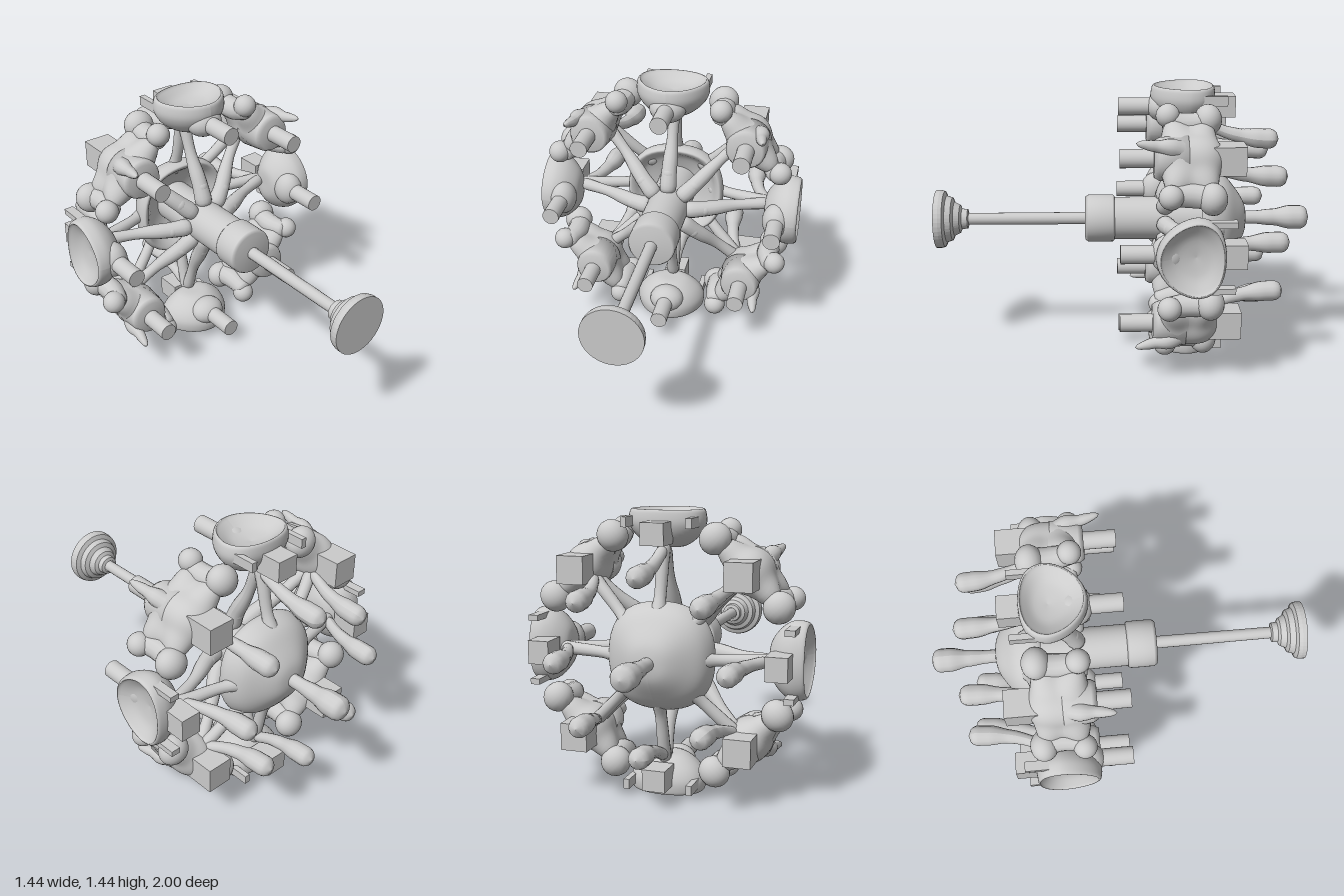
import * as THREE from 'three';

const mat = new THREE.MeshStandardMaterial({ color: 0xcccccc, side: THREE.DoubleSide });
const V = (x, y, z) => new THREE.Vector3(x, y, z);

function add(parent, name, geo) {
  const m = new THREE.Mesh(geo, mat);
  m.name = name;
  parent.add(m);
  return m;
}

// Lathe around the z axis from [radius, z] pairs
function turned(pts, seg = 40) {
  return new THREE.LatheGeometry(pts.map(p => new THREE.Vector2(p[0], p[1])), seg).rotateX(Math.PI / 2);
}

// Smooth lathe profile through a few points
function smooth(pts, n) {
  return new THREE.SplineCurve(pts.map(p => new THREE.Vector2(p[0], p[1]))).getPoints(n).map(p => [Math.max(p.x, 0), p.y]);
}

// Organic limb: a tube along a curve whose radius follows a list of values, with rounded ends
function limb(points, radii, seg = 24, sides = 14) {
  const curve = new THREE.CatmullRomCurve3(points);
  const geo = new THREE.TubeGeometry(curve, seg, 1, sides);
  const pos = geo.attributes.position, p = V(0, 0, 0);
  for (let i = 0; i <= seg; i++) {
    const t = i / seg, c = curve.getPointAt(t);
    const f = t * (radii.length - 1), k = Math.min(Math.floor(f), radii.length - 2);
    let r = THREE.MathUtils.lerp(radii[k], radii[k + 1], THREE.MathUtils.smoothstep(f - k, 0, 1));
    const e = Math.min(t, 1 - t) * 8;
    if (e < 1) r *= Math.sqrt(Math.max(0, 1 - (1 - e) * (1 - e)));
    for (let j = 0; j <= sides; j++) {
      const q = i * (sides + 1) + j;
      p.fromBufferAttribute(pos, q).sub(c).multiplyScalar(r).add(c);
      pos.setXYZ(q, p.x, p.y, p.z);
    }
  }
  geo.computeVertexNormals();
  return geo;
}

function box(w, h, d, x, y, z) {
  return new THREE.BoxGeometry(w, h, d).translate(x, y, z);
}

function ball(r, x, y, z, sx = 1, sy = 1, sz = 1) {
  return new THREE.SphereGeometry(r, 20, 14).scale(sx, sy, sz).translate(x, y, z);
}

function peg(parent) {
  add(parent, 'peg', new THREE.CylinderGeometry(0.046, 0.046, 0.25, 24).rotateX(Math.PI / 2).translate(0, 0.605, -0.095));
}

// Dished pod with its hollow facing outward; local y is the wheel's radius
function dishPod() {
  const g = new THREE.Group();
  g.name = 'dishPod';
  const prof = smooth([[0, 0.53], [0.45, 0.535], [0.82, 0.585], [1, 0.645], [0.99, 0.7], [0.92, 0.718], [0.84, 0.705], [0.5, 0.67], [0, 0.655]], 36);
  const geo = new THREE.LatheGeometry(prof.map(p => new THREE.Vector2(p[0], p[1])), 48);
  const pos = geo.attributes.position;
  for (let i = 0; i < pos.count; i++) {
    const x = pos.getX(i), z = pos.getZ(i);
    // narrow toward the front, squarer toward the back
    const wide = z > 0 ? 1 - 0.12 * z : 1 + 0.2 * z * z;
    pos.setX(i, x * 0.195 * wide);
    pos.setZ(i, z * (z > 0 ? 0.19 : 0.14) - 0.33);
  }
  geo.computeVertexNormals();
  add(g, 'dish', geo);
  add(g, 'podNose', ball(0.085, 0, 0.605, -0.2, 1.15, 0.9, 1));
  peg(g);
  add(g, 'backBlock', box(0.12, 0.11, 0.14, 0, 0.61, -0.505));
  for (const s of [-1, 1]) add(g, 'rearProng', box(0.03, 0.05, 0.16, s * 0.165, 0.66, -0.44));
  return g;
}

// Star-shaped pod with four arms ending in lobes
function starPod(angle) {
  const g = new THREE.Group();
  g.name = 'starPod';
  const arms = [];
  for (const s of [-1, 1]) arms.push(V(s * 0.22, 0.02, 0.1), V(s * 0.22, 0, -0.1));
  const geo = new THREE.SphereGeometry(1, 56, 36);
  const pos = geo.attributes.position, d = V(0, 0, 0);
  for (let i = 0; i < pos.count; i++) {
    d.fromBufferAttribute(pos, i).normalize();
    let r = 0.115 + 0.055 * d.z * d.z;
    for (const a of arms) r += 0.1 * Math.exp(-12 * (1 - d.dot(a) / a.length()));
    pos.setXYZ(i, d.x * r, d.y * r, d.z * r);
  }
  geo.computeVertexNormals();
  geo.translate(0, 0.6, -0.31);
  add(g, 'starBody', geo);
  for (const s of [-1, 1]) {
    add(g, 'frontLobe', ball(0.06, s * 0.232, 0.63, -0.21));
    add(g, 'rearLobe', ball(0.078, s * 0.225, 0.6, -0.41, 1, 1.05, 0.9));
    add(g, 'lobeBridge', limb([V(s * 0.22, 0.62, -0.18), V(s * 0.2, 0.595, -0.3), V(s * 0.22, 0.6, -0.45)], [0.05, 0.06, 0.06], 16));
  }
  add(g, 'frontCollar', turned([[0, -0.3], [0.12, -0.3], [0.105, -0.16], [0.09, -0.135], [0, -0.135]], 28).translate(0, 0.6, 0));
  peg(g);
  add(g, 'horn', limb([V(0, 0.64, -0.3), V(0, 0.7, -0.22), V(0, 0.715, -0.14), V(0, 0.74, -0.045)], [0.06, 0.045, 0.028, 0.015], 20));
  // block stays square to the world axes
  const block = add(g, 'backBlock', box(0.14, 0.14, 0.16, 0, 0, 0));
  block.position.set(0, 0.6, -0.5);
  block.rotation.z = -angle;
  return g;
}

// Forked spoke with a rear drumstick knob
function spoke() {
  const g = new THREE.Group();
  g.name = 'spoke';
  add(g, 'frontFork', limb([V(0, 0.08, -0.2), V(0, 0.2, -0.24), V(0, 0.36, -0.32), V(0, 0.56, -0.39)], [0.05, 0.042, 0.03, 0.035]));
  add(g, 'rearFork', limb([V(0, 0.18, -0.5), V(0, 0.32, -0.45), V(0, 0.45, -0.42), V(0, 0.57, -0.39)], [0.045, 0.03, 0.032, 0.035]));
  add(g, 'spokeKnuckle', ball(0.045, 0, 0.2, -0.24, 0.9, 1, 1));
  add(g, 'drumstick', limb([V(0, 0.53, -0.4), V(0, 0.47, -0.53), V(0, 0.44, -0.66), V(0, 0.428, -0.815)], [0.03, 0.03, 0.036, 0.052, 0.054], 30));
  return g;
}

export function createModel() {
  const root = new THREE.Group();
  root.name = 'wheelDevice';
  const wheel = new THREE.Group();
  wheel.name = 'wheel';
  wheel.position.y = 0.72;
  root.add(wheel);

  // Foot, rod and hub along the axis
  const foot = turned([[0.034, 0.83], [0.052, 0.835], [0.055, 0.865], [0.075, 0.875], [0.09, 0.905], [0.115, 0.915],
    [0.125, 0.945], [0.15, 0.955], [0.155, 0.975], [0.155, 1], [0.155, 1], [0, 1]]);
  add(wheel, 'footDisc', foot.toNonIndexed()).geometry.computeVertexNormals();
  add(wheel, 'rod', new THREE.CylinderGeometry(0.031, 0.033, 0.68, 16).rotateX(Math.PI / 2).translate(0, 0, 0.52));
  add(wheel, 'rodCollar', turned([[0, 0.05], [0.118, 0.05], [0.126, 0.06], [0.127, 0.13], [0.126, 0.19], [0.115, 0.207], [0, 0.21]]));
  add(wheel, 'hubShaft', turned([[0.115, -0.54], [0.115, -0.3], [0.113, 0.06]]));

  // Rear dome: a shallow cup open to the front, slightly squared in outline
  const dome = turned(smooth([[0, -0.655], [0.09, -0.64], [0.18, -0.585], [0.25, -0.525], [0.283, -0.45], [0.272, -0.4],
    [0.245, -0.41], [0.2, -0.46], [0.1, -0.5]], 40), 48);
  const pos = dome.attributes.position;
  for (let i = 0; i < pos.count; i++) {
    const x = pos.getX(i), y = pos.getY(i), k = 1 - 0.03 * Math.cos(4 * Math.atan2(y, x));
    pos.setXYZ(i, x * k, y * k * 0.99, pos.getZ(i));
  }
  dome.computeVertexNormals();
  add(wheel, 'rearDome', dome);
  add(wheel, 'centreKnob', limb([V(0, 0, -0.6), V(0, 0, -0.75), V(0, 0, -0.995)], [0.034, 0.036, 0.045, 0.064, 0.064], 30));

  // Eight stations around the rim, alternating pod types
  for (let i = 0; i < 8; i++) {
    const a = i * Math.PI / 4;
    for (const part of [spoke(), i % 2 ? starPod(a) : dishPod()]) {
      part.rotation.z = a;
      wheel.add(part);
    }
  }
  return root;
}
